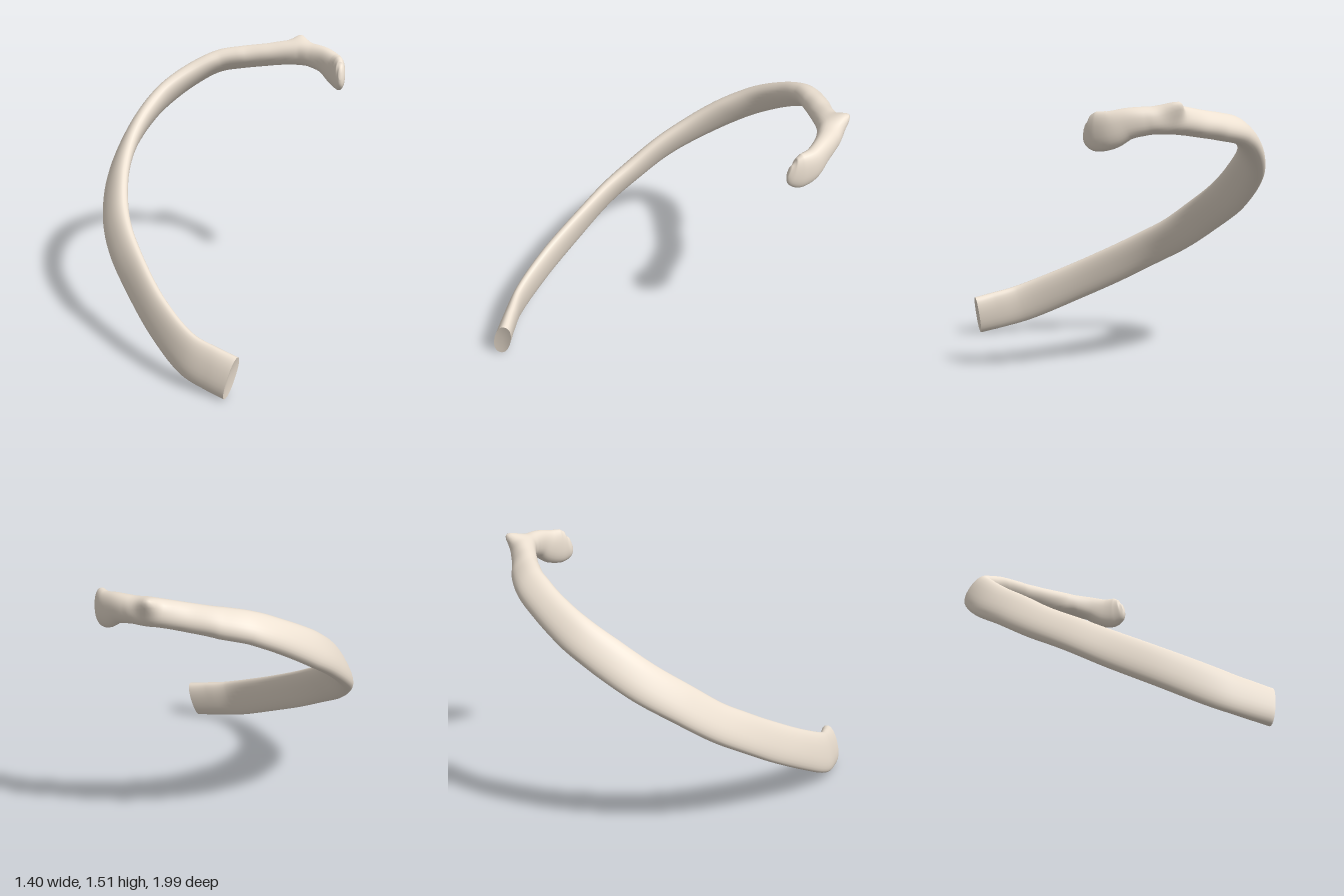
import * as THREE from 'three';

// Stations from the front end, around the side and back, to the head:
// x, y, z of the centre, half height, half thickness, inward lean of the top edge
const STATIONS = [
  [0.19, 0.12, 0.942, 0.122, 0.048, 0.25],
  [0.08, 0.143, 0.89, 0.123, 0.043, 0.22],
  [-0.06, 0.18, 0.812, 0.122, 0.038, 0.2],
  [-0.25, 0.293, 0.615, 0.117, 0.041, 0.22],
  [-0.42, 0.433, 0.37, 0.116, 0.042, 0.3],
  [-0.535, 0.553, 0.17, 0.115, 0.046, 0.42],
  [-0.595, 0.65, 0, 0.115, 0.05, 0.52],
  [-0.622, 0.783, -0.2, 0.116, 0.05, 0.57],
  [-0.602, 0.91, -0.4, 0.115, 0.051, 0.57],
  [-0.53, 1.045, -0.585, 0.112, 0.053, 0.57],
  [-0.425, 1.16, -0.735, 0.105, 0.055, 0.6],
  [-0.265, 1.27, -0.85, 0.096, 0.058, 0.75],
  [-0.1, 1.348, -0.912, 0.09, 0.06, 0.9],
  [0.05, 1.377, -0.917, 0.085, 0.062, 0.9],
  [0.2, 1.4, -0.903, 0.075, 0.062, 0.7],
  [0.33, 1.42, -0.892, 0.073, 0.068, 0.4],
  [0.42, 1.425, -0.872, 0.074, 0.068, 0.1],
  [0.5, 1.42, -0.825, 0.073, 0.06, 0],
  [0.57, 1.407, -0.768, 0.08, 0.052, 0],
  [0.627, 1.375, -0.7, 0.097, 0.049, 0],
  [0.656, 1.366, -0.635, 0.101, 0.04, 0],
  [0.666, 1.372, -0.588, 0.08, 0.028, 0],
  [0.668, 1.38, -0.565, 0.03, 0.011, 0],
];
const RINGS = 132, SIDES = 28;

// Knob of the tubercle: pushes nearby points up and back
const KNOB = new THREE.Vector3(0.41, 1.485, -0.935);
const KNOB_PUSH = new THREE.Vector3(0, 0.035, -0.052);

const power = (v, e) => Math.sign(v) * Math.pow(Math.abs(v), e);

function makeRings() {
  const path = new THREE.CatmullRomCurve3(STATIONS.map((s) => new THREE.Vector3(s[0], s[1], s[2])));
  const size = new THREE.CatmullRomCurve3(STATIONS.map((s) => new THREE.Vector3(s[3], s[4], s[5])));
  const rings = [];
  for (let i = 0; i <= RINGS; i++) {
    const u = i / RINGS;
    const c = path.getPoint(u), t = path.getTangent(u), s = size.getPoint(u);
    const up = new THREE.Vector3(0, 1, 0).addScaledVector(t, -t.y).normalize();
    const inward = new THREE.Vector3().crossVectors(t, up);
    up.applyAxisAngle(t, s.z);
    inward.applyAxisAngle(t, s.z);
    const ring = [];
    for (let j = 0; j < SIDES; j++) {
      const a = (j / SIDES) * Math.PI * 2;
      const p = c.clone()
        .addScaledVector(inward, power(Math.cos(a), 0.9) * s.y)
        .addScaledVector(up, power(Math.sin(a), 0.9) * s.x);
      const d = p.distanceTo(KNOB) / 0.05;
      ring.push(p.addScaledVector(KNOB_PUSH, Math.exp(-d * d)));
    }
    rings.push(ring);
  }
  return rings;
}

function geometryFrom(points, index) {
  const g = new THREE.BufferGeometry().setFromPoints(points);
  g.setIndex(index);
  g.computeVertexNormals();
  return g;
}

const centreOf = (ring) =>
  ring.reduce((sum, p) => sum.add(p), new THREE.Vector3()).divideScalar(ring.length);

export function createModel() {
  const group = new THREE.Group();
  group.name = 'rib';
  const bone = new THREE.MeshStandardMaterial({ color: 0xede1d2 });
  const rings = makeRings();

  // Shaft, neck and head as one smooth loft, closed at the head
  const index = [];
  for (let i = 0; i < RINGS; i++) {
    for (let j = 0; j < SIDES; j++) {
      const k = (j + 1) % SIDES;
      const a = i * SIDES + j, b = i * SIDES + k;
      index.push(a, a + SIDES, b, b, a + SIDES, b + SIDES);
    }
  }
  const tip = (RINGS + 1) * SIDES;
  for (let j = 0; j < SIDES; j++) {
    index.push(tip, RINGS * SIDES + ((j + 1) % SIDES), RINGS * SIDES + j);
  }
  const shaft = new THREE.Mesh(geometryFrom([...rings.flat(), centreOf(rings[RINGS])], index), bone);
  shaft.name = 'ribShaft';
  group.add(shaft);

  // Slightly hollow front end with a sharp rim
  const end = rings[0];
  const hollow = centreOf(end).add(new THREE.Vector3(-0.012, 0.003, -0.006));
  const capIndex = [];
  for (let j = 0; j < SIDES; j++) capIndex.push(SIDES, j, (j + 1) % SIDES);
  const cap = new THREE.Mesh(geometryFrom([...end, hollow], capIndex), bone);
  cap.name = 'frontEnd';
  group.add(cap);

  return group;
}
